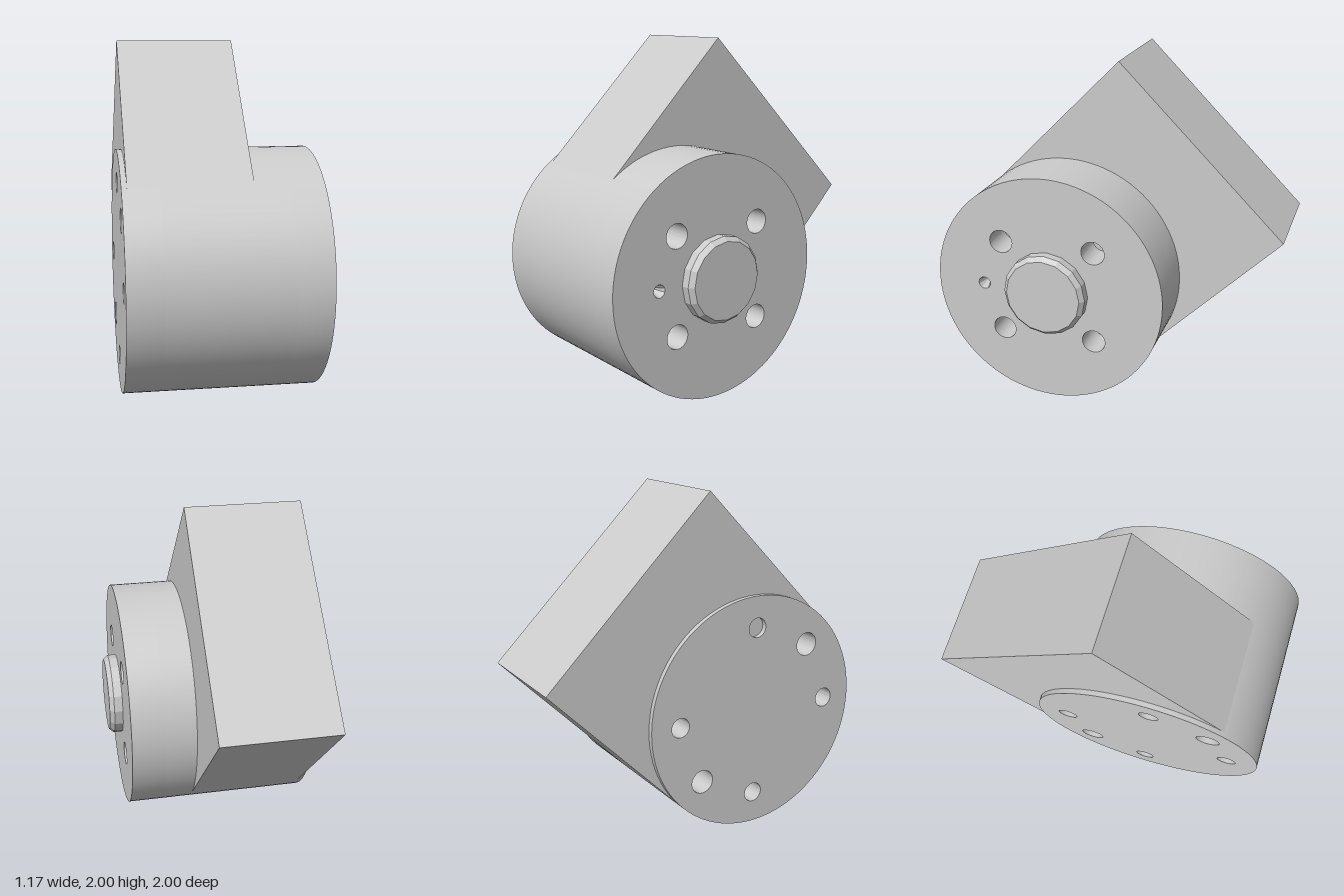
import * as THREE from 'three';
import { toCreasedNormals } from 'three/addons/utils/BufferGeometryUtils.js';

const R = 0.697;              // drum radius
const REACH = 1.143;          // block length from the drum axis
const BACK = -0.59, FRONT = 0.505;
const RIGHT_DEPTH = 0.2, LEFT_DEPTH = 0.2;

const grey = new THREE.MeshStandardMaterial({ color: 0xcccccc });
const facetedGrey = new THREE.MeshStandardMaterial({ color: 0xcccccc, flatShading: true });
const insideGrey = new THREE.MeshStandardMaterial({ color: 0xcccccc, side: THREE.BackSide, flatShading: true });

// hole given by polar position (degrees) and radius
const hole = (deg, dist, r) => {
  const a = THREE.MathUtils.degToRad(deg);
  return { x: dist * Math.cos(a), y: dist * Math.sin(a), r };
};

function add(parent, name, geometry, material = grey, z = 0) {
  const mesh = new THREE.Mesh(geometry, material);
  mesh.name = name;
  mesh.position.z = z;
  parent.add(mesh);
  return mesh;
}

// round plate along z, pierced by holes
function plate(depth, holes) {
  const shape = new THREE.Shape().absarc(0, 0, R, 0, Math.PI * 2, false);
  for (const h of holes) {
    shape.holes.push(new THREE.Path().absarc(h.x, h.y, h.r, 0, Math.PI * 2, true));
  }
  const geo = new THREE.ExtrudeGeometry(shape, { depth, bevelEnabled: false, curveSegments: 48 });
  return toCreasedNormals(geo, 0.5);
}

export function createModel() {
  const model = new THREE.Group();
  model.name = 'drumHousing';

  // local z is the drum axis, turned to point along +x
  const axis = new THREE.Group();
  axis.name = 'drumAssembly';
  axis.rotation.y = Math.PI / 2;
  axis.position.set(0, R, 0.303);
  model.add(axis);

  // shaft-side plate: four bolt holes and a pin hole
  const pin = hole(180, 0.402, 0.037);
  const rightHoles = [45, 135, 225, 315].map((d) => hole(d, 0.4, 0.07));
  add(axis, 'shaftSidePlate', plate(RIGHT_DEPTH, [...rightHoles, pin]), grey, FRONT - RIGHT_DEPTH);

  // conical pin hole seat
  const seat = new THREE.ConeGeometry(pin.r, 0.1, 10, 1, true).rotateX(-Math.PI / 2);
  add(axis, 'pinHoleSeat', seat, insideGrey, FRONT - 0.052).position.set(pin.x, pin.y, FRONT - 0.052);

  // solid middle of the drum
  const coreLength = FRONT - BACK - RIGHT_DEPTH - LEFT_DEPTH;
  const core = new THREE.CylinderGeometry(R, R, coreLength, 96).rotateX(Math.PI / 2);
  add(axis, 'drumCore', core, grey, BACK + LEFT_DEPTH + coreLength / 2);

  // plain-side plate: ring of small and large holes
  const leftHoles = [0, 90, 135, 180, 270, 315].map((d) => hole(d, 0.51, d % 90 ? 0.07 : 0.058));
  add(axis, 'plainSidePlate', plate(LEFT_DEPTH, leftHoles), grey, BACK);

  // square block tangent to the drum, hollowed to fit around it
  const outline = new THREE.Shape();
  outline.moveTo(0, R);
  outline.absarc(0, 0, R - 0.005, Math.PI / 2, -Math.PI / 2, true);
  outline.lineTo(0, -R);
  outline.lineTo(REACH, -R);
  outline.lineTo(REACH, R);
  outline.closePath();
  const blockGeo = new THREE.ExtrudeGeometry(outline, { depth: 0.68, bevelEnabled: false, curveSegments: 48 });
  add(axis, 'tangentBlock', blockGeo, grey, -0.56).rotation.z = Math.PI / 4;

  // chamfered shaft end
  const profile = [[0.25, 0], [0.25, 0.052], [0.225, 0.08], [0, 0.08]].map(([x, y]) => new THREE.Vector2(x, y));
  const shaft = new THREE.LatheGeometry(profile, 16).rotateX(Math.PI / 2);
  add(axis, 'shaftEnd', shaft, facetedGrey, FRONT);

  return model;
}
